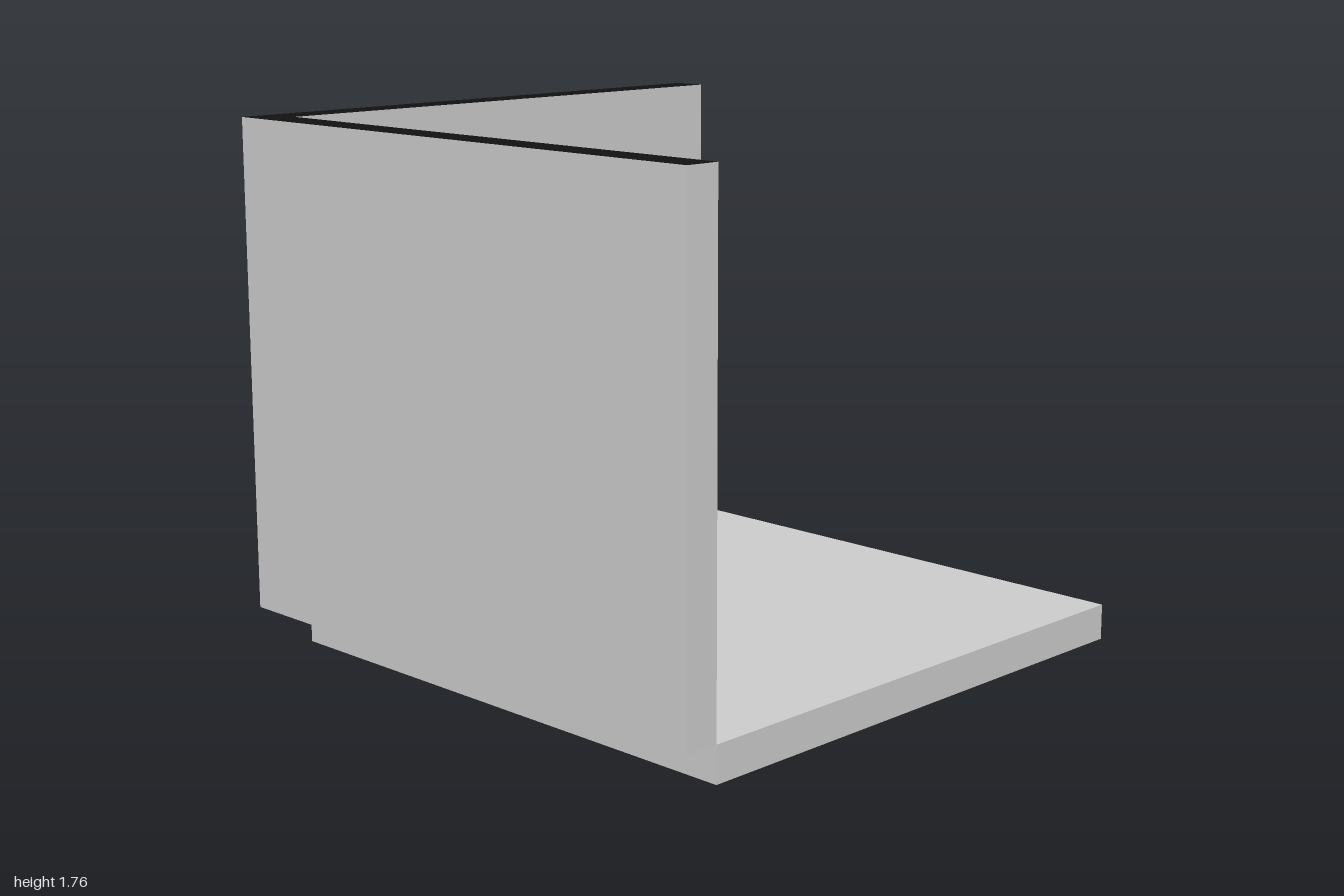
import * as THREE from 'three';

const grey = new THREE.MeshStandardMaterial({ color: 0xcccccc });
const black = new THREE.MeshStandardMaterial({ color: 0x111111 });

// Box given by its two opposite corners
function block(name, [x0, y0, z0], [x1, y1, z1], material) {
  const geo = new THREE.BoxGeometry(x1 - x0, y1 - y0, z1 - z0);
  geo.translate((x0 + x1) / 2, (y0 + y1) / 2, (z0 + z1) / 2);
  const mesh = new THREE.Mesh(geo, material);
  mesh.name = name;
  return mesh;
}

function rect(Type, x0, y0, x1, y1) {
  const p = new Type();
  p.moveTo(x0, y0).lineTo(x1, y0).lineTo(x1, y1).lineTo(x0, y1).closePath();
  return p;
}

// Flat outline given thickness from z0 to z1
function slab(name, shape, z0, z1, material) {
  const geo = new THREE.ExtrudeGeometry(shape, { depth: z1 - z0, bevelEnabled: false });
  geo.translate(0, 0, z0);
  const mesh = new THREE.Mesh(geo, material);
  mesh.name = name;
  return mesh;
}

// Make the faces picked by test(normal, centre) black, the rest grey
function paintFaces(mesh, test) {
  const geo = mesh.geometry.index ? mesh.geometry.toNonIndexed() : mesh.geometry;
  const pos = geo.attributes.position;
  const tri = new THREE.Triangle();
  const normal = new THREE.Vector3(), centre = new THREE.Vector3();
  geo.clearGroups();
  for (let i = 0; i < pos.count; i += 3) {
    tri.setFromAttributeAndIndices(pos, i, i + 1, i + 2);
    tri.getNormal(normal);
    tri.getMidpoint(centre);
    geo.addGroup(i, 3, test(normal, centre) ? 1 : 0);
  }
  mesh.geometry = geo;
  mesh.material = [grey, black];
}

export function createModel() {
  const model = new THREE.Group();
  model.name = 'roomCorner';

  const base = 0.12, top = 1.76, inner = -0.88;   // floor level, wall top, inner wall face
  const doorL = -0.41, doorR = 0.53, doorTop = 1.22, bar = 0.037;
  const mid = (doorL + doorR) / 2;

  // Floor slab
  model.add(block('floor', [inner, 0, inner], [1, base, 1], grey));

  // Side wall with a black top
  const sideWall = block('sideWall', [-1, base, inner], [inner, top, 1], grey);
  paintFaces(sideWall, (n) => n.y > 0.5);
  model.add(sideWall);

  // Back wall with a doorway notch; black top and reveals
  const outline = new THREE.Shape([
    [-1, base], [doorL, base], [doorL, doorTop], [doorR, doorTop],
    [doorR, base], [1, base], [1, top], [-1, top],
  ].map(([x, y]) => new THREE.Vector2(x, y)));
  const backWall = slab('backWall', outline, -1, inner, grey);
  paintFaces(backWall, (n, c) => {
    const reveal = Math.abs(n.z) < 0.5 && c.x > doorL - 0.01 && c.x < doorR + 0.01 && c.y > base + 0.01;
    return n.y > 0.5 || reveal;
  });
  model.add(backWall);

  // Double door: sill, recessed frame and two panels flush with it
  const door = new THREE.Group();
  door.name = 'doubleDoor';
  door.add(block('doorSill', [doorL, 0, -1], [doorR, base, inner], black));
  const frame = rect(THREE.Shape, doorL, base, doorR, doorTop);
  for (const [x0, x1] of [[doorL, mid], [mid, doorR]]) {
    const a = [x0 + bar, base + bar], b = [x1 - bar, doorTop - bar];
    frame.holes.push(rect(THREE.Path, ...a, ...b));
    door.add(block('doorPanel', [...a, -0.96], [...b, -0.92], grey));
  }
  door.add(slab('doorFrame', frame, -0.96, -0.92, black));
  model.add(door);

  return model;
}
